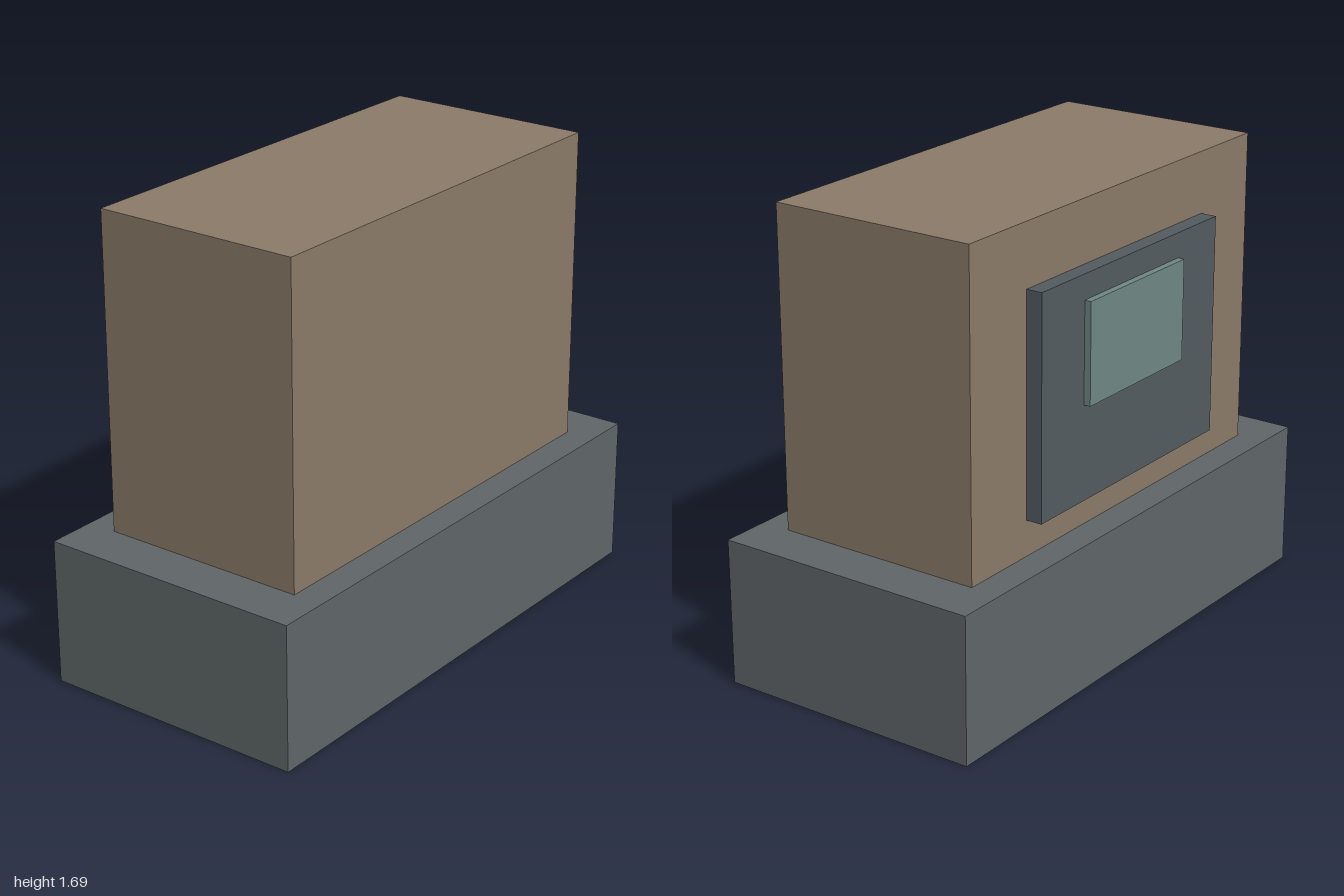
import * as THREE from 'three';

// Box given by its extents along each axis
function block(name, color, [x0, x1], [y0, y1], [z0, z1]) {
  const mesh = new THREE.Mesh(
    new THREE.BoxGeometry(x1 - x0, y1 - y0, z1 - z0),
    new THREE.MeshStandardMaterial({ color })
  );
  mesh.position.set((x0 + x1) / 2, (y0 + y1) / 2, (z0 + z1) / 2);
  mesh.name = name;
  return mesh;
}

export function createModel() {
  const model = new THREE.Group();
  model.name = 'cabinet';

  // Wide plinth and the main housing standing on it
  model.add(block('base', 0x5f6668, [-1, 1], [0, 0.535], [-0.5, 0.5]));
  model.add(block('housing', 0x8a7a68, [-0.82, 0.82], [0.535, 1.69], [-0.39, 0.39]));

  // Raised panel on the back with a small screen plate
  model.add(block('backPanel', 0x525b5f, [-0.52, 0.52], [0.665, 1.465], [-0.45, -0.39]));
  model.add(block('screen', 0x6f8784, [-0.28, 0.28], [1.01, 1.375], [-0.475, -0.45]));

  return model;
}
